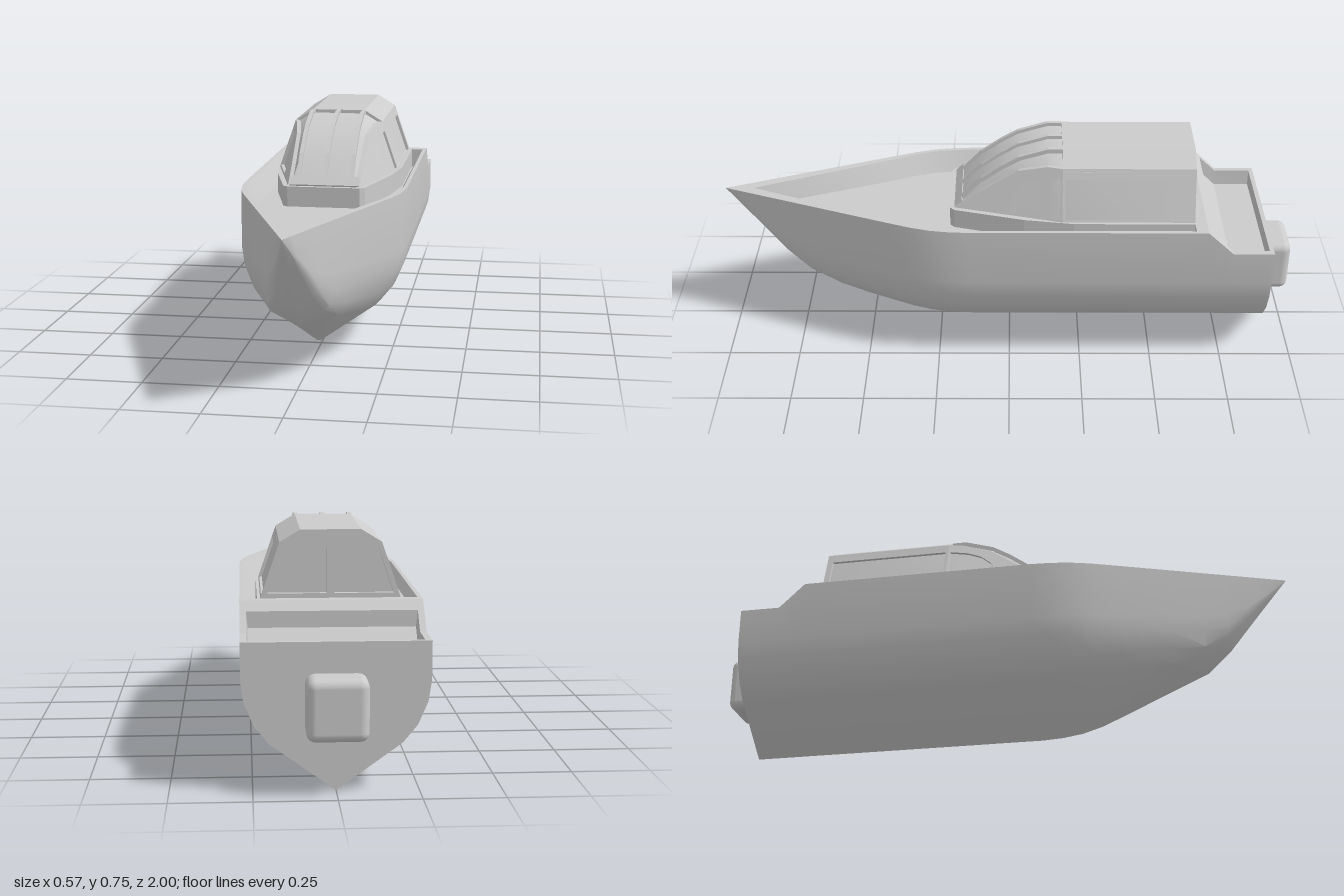
import * as THREE from 'three';
import { toCreasedNormals } from 'three/addons/utils/BufferGeometryUtils.js';
import { RoundedBoxGeometry } from 'three/addons/geometries/RoundedBoxGeometry.js';

const material = new THREE.MeshStandardMaterial({ color: 0xcccccc });

// Linear lookup in a table of [position, value] rows.
function lookup(table, p) {
  if (p <= table[0][0]) return table[0][1];
  for (let i = 1; i < table.length; i++) {
    const [a, va] = table[i - 1], [b, vb] = table[i];
    if (p <= b) return va + (vb - va) * (p - a) / (b - a);
  }
  return table[table.length - 1][1];
}

// Skin of mirrored half sections, given from bottom centre to top centre, aft to fore.
function loft(sections, crease) {
  const rings = sections.map(({ z, half }) => {
    const left = half.map(([x, y]) => new THREE.Vector3(x, y, z));
    const right = half.slice(1, -1).reverse().map(([x, y]) => new THREE.Vector3(-x, y, z));
    return [...left, ...right];
  });
  const pos = [], n = rings[0].length;
  const tri = (a, b, c) => {
    const area = b.clone().sub(a).cross(c.clone().sub(a)).length();
    if (area > 1e-7) for (const p of [a, b, c]) pos.push(p.x, p.y, p.z);
  };
  for (let i = 0; i < rings.length - 1; i++) {
    for (let j = 0; j < n; j++) {
      const k = (j + 1) % n, r = rings[i], s = rings[i + 1];
      tri(r[j], r[k], s[k]);
      tri(r[j], s[k], s[j]);
    }
  }
  const first = rings[0], last = rings[rings.length - 1];
  for (let j = 1; j < n - 1; j++) {
    tri(first[0], first[j + 1], first[j]);
    tri(last[0], last[j], last[j + 1]);
  }
  const g = new THREE.BufferGeometry();
  g.setAttribute('position', new THREE.Float32BufferAttribute(pos, 3));
  g.computeVertexNormals();
  return toCreasedNormals(g, crease);
}

function extrude(points, depth, holes = []) {
  const shape = new THREE.Shape(points.map(p => new THREE.Vector2(...p)));
  for (const h of holes) shape.holes.push(new THREE.Path(h.map(p => new THREE.Vector2(...p))));
  return new THREE.ExtrudeGeometry(shape, { depth, bevelEnabled: false });
}

// Hull curves along z
const SHEER = 0.54;
const keel = [[0.13, 0], [0.19, 0.003], [0.26, 0.012], [0.35, 0.04], [0.6, 0.155],
  [0.71, 0.205], [0.79, 0.28], [0.87, 0.38], [1, SHEER]];
const beam = [[0.13, 0.285], [0.2, 0.282], [0.27, 0.272], [0.34, 0.252], [0.42, 0.222], [1, 0]];
const rail = [[-0.76, 0.455], [-0.67, SHEER]];
const midSection = [[0, 0], [0.2, 0.145], [0.245, 0.2], [0.275, 0.27], [0.285, 0.335]];

function hullGeometry() {
  const D = 0.47;
  // z, inner rail half width, floor half width, floor height (null = level with rail)
  const stations = [
    [-0.9, 0.265, 0.26, null], [-0.885, 0.265, 0.26, null],
    [-0.885, 0.265, 0.26, 0.4], [-0.76, 0.265, 0.26, 0.4],
    [-0.7, 0.265, 0.26, 0.46], [-0.7, 0.265, 0.26, null], [-0.67, 0.265, 0.26, null],
    [-0.63, 0.272, 0.235, null], [-0.63, 0.272, 0.235, D],
    [0.13, 0.272, 0.235, D], [0.2, 0.268, 0.231, D], [0.27, 0.257, 0.221, D],
    [0.34, 0.236, 0.2, D], [0.42, 0.2, 0.166, D], [0.5, 0.167, 0.136, D],
    [0.6, 0.125, 0.098, D], [0.71, 0.079, 0.057, D], [0.79, 0.046, 0.026, D],
    [0.86, 0.017, 0, D], [0.9, 0, 0, null], [0.95, 0, 0, null], [1, 0, 0, null],
  ];
  return loft(stations.map(([z, ri, fi, floor]) => {
    const k = lookup(keel, z), w = lookup(beam, z) / 0.285, top = lookup(rail, z);
    const outer = midSection.map(([x, y]) => [x * w,
      0.5 * (k + (SHEER - k) * y / SHEER) + 0.5 * Math.max(y, k)]);
    const f = floor ?? top;
    return { z, half: [...outer, [0.285 * w, top], [ri, top], [fi, f], [0, f]] };
  }), 0.55);
}

// Cabin curves along z
const sill = [[-0.18, 0.22], [0.19, 0.125]];
const shoulder = [[-0.13, 0.715], [-0.03, 0.69], [0.1, 0.605], [0.19, 0.54]];
const crown = [[-0.13, 0.755], [-0.03, 0.725], [0.03, 0.69], [0.1, 0.64], [0.19, 0.545]];
const sideX = (z, y) => lookup(sill, z) - 0.343 * (y - 0.54);

// Inclined side wall with a window opening, drawn in z and y.
function sidePanel(side, outline, hole) {
  const t = 0.014, flip = pts => pts.map(([z, y]) => [-side * z, y]);
  const g = extrude(flip(outline), t, [flip(hole)]);
  const p = g.attributes.position;
  for (let i = 0; i < p.count; i++) {
    const z = -side * p.getX(i), y = p.getY(i);
    p.setXYZ(i, side * (sideX(z, y) + p.getZ(i) - t), y, z);
  }
  g.computeVertexNormals();
  return g;
}

// Bar following the windscreen profile between two z values.
function screenBar(x, width, z0, z1) {
  const zs = [z0, ...crown.map(c => c[0]).filter(z => z > z0 && z < z1), z1];
  const top = zs.map(z => [-z, lookup(crown, z)]);
  const under = zs.map(z => [-z + 0.008, lookup(crown, z) - 0.024]).reverse();
  const g = extrude([...top, ...under], width);
  g.rotateY(Math.PI / 2);
  g.translate(x - width / 2, 0, 0);
  return g;
}

export function createModel() {
  const model = new THREE.Group();
  const add = (name, geometry, parent = model) => {
    const mesh = new THREE.Mesh(geometry, material);
    mesh.name = name;
    parent.add(mesh);
    return mesh;
  };

  add('hull', hullGeometry());

  // Outboard motor on the transom
  add('motor', new RoundedBoxGeometry(0.186, 0.19, 0.12, 4, 0.028)).position.set(0, 0.265, -0.94);

  const cabin = new THREE.Group();
  cabin.name = 'cabin';
  model.add(cabin);

  // Raised base that tapers towards the bow
  const edge = [[0.23, 0.63], [0.23, 0.22], [0.205, 0.05], [0.142, -0.19], [0.125, -0.205]];
  const base = extrude([...edge, ...edge.map(([x, y]) => [-x, y]).reverse()], SHEER - 0.46);
  base.rotateX(-Math.PI / 2);
  base.translate(0, 0.46, 0);
  add('cabinBase', base, cabin);

  // Glazing, set slightly inside the frames
  const e = 0.012;
  add('glazing', loft([-0.612, -0.18, -0.13, -0.03, 0.03, 0.1, 0.178].map(z => {
    const sy = lookup(shoulder, z) - e / 2, cy = lookup(crown, z) - e;
    return { z, half: [[0, 0.52], [sideX(z, 0.52) - e, 0.52], [sideX(z, sy) - e, sy],
      [0.095, Math.max(cy, sy)], [0, Math.max(cy, sy)]] };
  }), 0.35), cabin);

  add('roof', loft([-0.63, -0.18].map(z => ({ z,
    half: [[0, 0.7], [0.165, 0.7], [0.16, 0.715], [0.095, 0.755], [0, 0.755]] })), 0.2), cabin);

  // Side walls with an aft window and a curved forward window
  for (const side of [1, -1]) {
    const label = side > 0 ? 'left' : 'right';
    add(label + 'AftWall', sidePanel(side,
      [[-0.63, 0.54], [-0.18, 0.54], [-0.18, 0.705], [-0.63, 0.705]],
      [[-0.61, 0.548], [-0.19, 0.548], [-0.19, 0.68], [-0.61, 0.68]]), cabin);
    add(label + 'ForwardWall', sidePanel(side,
      [[-0.18, 0.54], [0.19, 0.54], [0.1, 0.605], [-0.03, 0.69], [-0.13, 0.715], [-0.18, 0.715]],
      [[-0.172, 0.548], [0, 0.548], [-0.01, 0.595], [-0.03, 0.635], [-0.065, 0.663],
        [-0.11, 0.677], [-0.172, 0.68]]), cabin);
  }

  // Windscreen bars and bottom rail
  for (const x of [-0.092, 0, 0.092]) add('windscreenBar', screenBar(x, 0.014, -0.18, 0.19), cabin);
  add('windscreenRail', screenBar(0, 0.24, 0.165, 0.19), cabin);

  // Rear bulkhead with two windows
  const half = [[0.22, 0.54], [0.16, 0.715], [0.095, 0.755]];
  const pane = [[0.012, 0.555], [0.198, 0.555], [0.148, 0.703], [0.09, 0.738], [0.012, 0.738]];
  const mirror = pts => pts.map(([x, y]) => [-x, y]).reverse();
  const rear = extrude([...half, ...mirror(half)], 0.016, [pane, mirror(pane)]);
  rear.translate(0, 0, -0.63);
  add('rearBulkhead', rear, cabin);

  return model;
}
